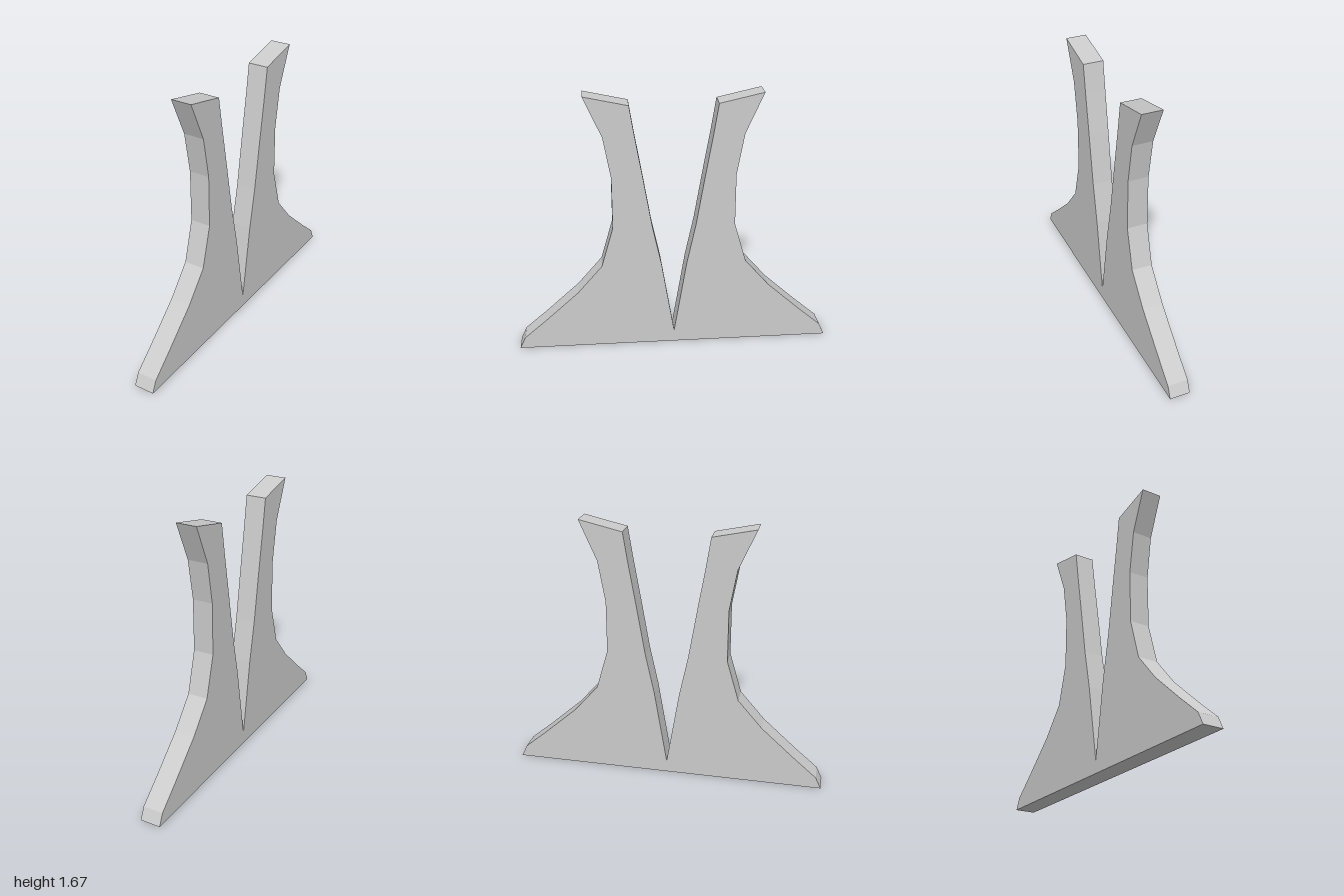
import * as THREE from 'three';

const THICKNESS = 0.13;

// Half outline as [z, y]: from the notch, up the inner edge, over the tip and down the outer edge
const HALF = [
  [0, 0.08], [0.08, 0.57], [0.135, 0.83], [0.19, 1.16], [0.235, 1.42], [0.265, 1.61],
  [0.535, 1.67], [0.425, 1.42], [0.38, 1.16], [0.38, 0.83], [0.455, 0.57],
  [0.61, 0.39], [0.82, 0.2], [0.965, 0.075], [1, 0],
];

export function createModel() {
  const group = new THREE.Group();
  group.name = 'forkedStand';

  // Mirror the half outline, sharing the notch point
  const mirrored = HALF.slice(1).reverse().map(([z, y]) => [-z, y]);
  const outline = [...HALF, ...mirrored].map(([z, y]) => new THREE.Vector2(z, y));

  // Flat plate with two flared prongs, standing in the YZ plane
  const geometry = new THREE.ExtrudeGeometry(new THREE.Shape(outline), {
    depth: THICKNESS,
    bevelEnabled: false,
  });
  geometry.translate(0, 0, -THICKNESS / 2);
  geometry.rotateY(-Math.PI / 2);

  const plate = new THREE.Mesh(
    geometry,
    new THREE.MeshStandardMaterial({ color: 0xcccccc, flatShading: true }),
  );
  plate.name = 'prongedPlate';
  group.add(plate);
  return group;
}
